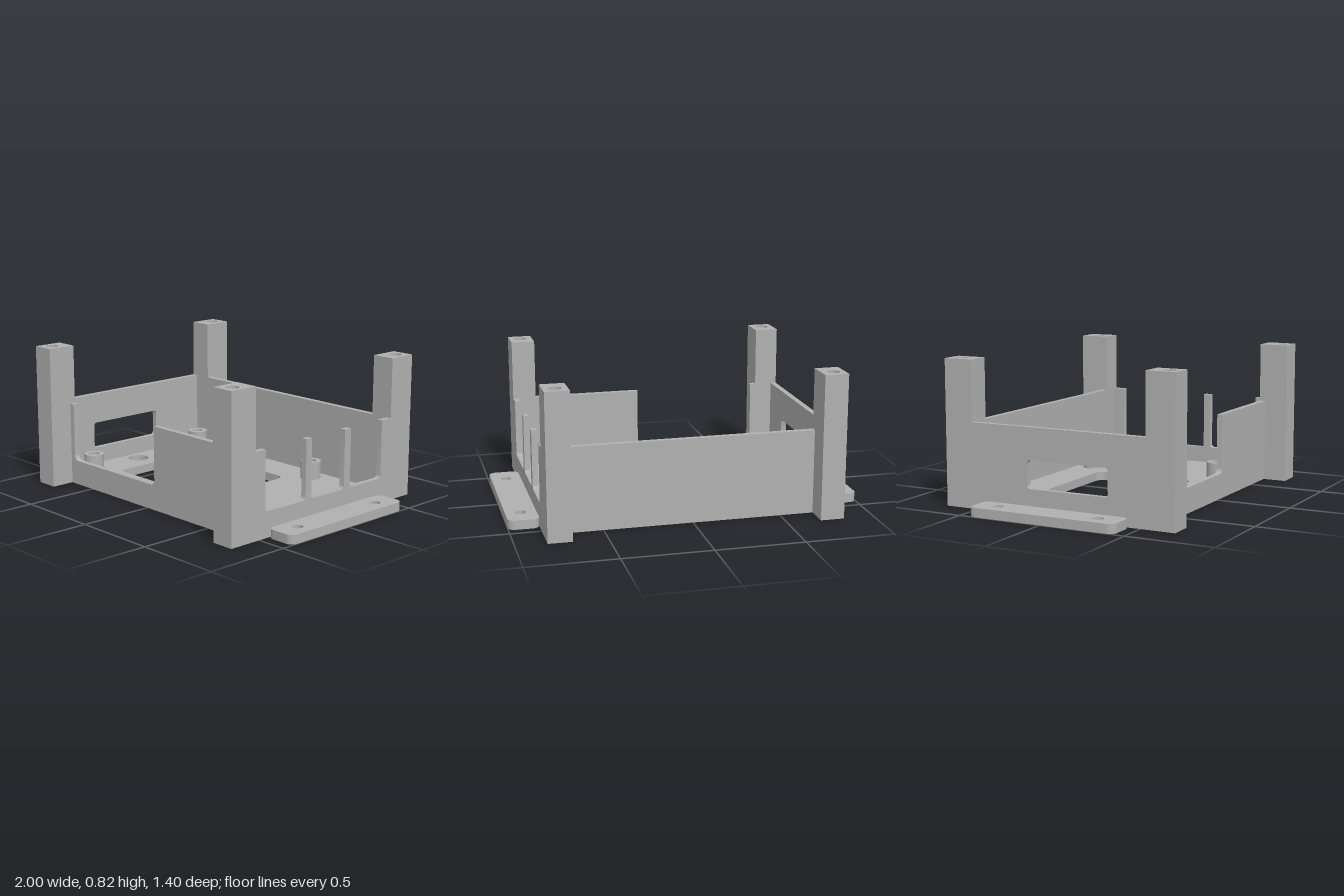
import * as THREE from 'three';
import { toCreasedNormals } from 'three/addons/utils/BufferGeometryUtils.js';

const FLOOR = 0.05, WALL_TOP = 0.48, HX = 0.827, HZ = 0.53, T = 0.033;

// Rounded rectangle traced into a Shape or Path
function roundRect(path, x0, y0, x1, y1, r) {
  path.moveTo(x0 + r, y0);
  path.lineTo(x1 - r, y0);
  path.absarc(x1 - r, y0 + r, r, -Math.PI / 2, 0, false);
  path.absarc(x1 - r, y1 - r, r, 0, Math.PI / 2, false);
  path.absarc(x0 + r, y1 - r, r, Math.PI / 2, Math.PI, false);
  path.absarc(x0 + r, y0 + r, r, Math.PI, Math.PI * 1.5, false);
  return path;
}

function rect(x0, y0, x1, y1) {
  return new THREE.Shape([[x0, y0], [x1, y0], [x1, y1], [x0, y1]].map(p => new THREE.Vector2(...p)));
}

function circle(path, x, y, r) {
  path.absarc(x, y, r, 0, Math.PI * 2, false);
  return path;
}

// Wall outline with round-bottomed notches [a, b] open at the top, listed from high to low
function wallShape(u0, u1, y0, notches, bottom, r) {
  const s = new THREE.Shape();
  s.moveTo(u0, y0);
  s.lineTo(u1, y0);
  s.lineTo(u1, WALL_TOP);
  for (const [a, b] of notches) {
    s.lineTo(b, WALL_TOP);
    s.absarc(b - r, bottom + r, r, 0, -Math.PI / 2, true);
    s.absarc(a + r, bottom + r, r, -Math.PI / 2, -Math.PI, true);
    s.lineTo(a, WALL_TOP);
  }
  s.lineTo(u0, WALL_TOP);
  return s;
}

function extrude(shape, depth) {
  const g = new THREE.ExtrudeGeometry(shape, { depth, bevelEnabled: false, curveSegments: 14 });
  return toCreasedNormals(g, 0.6);
}

// Plan outline (x, -z) raised from y0 to y1
function slab(shape, y0, y1) {
  return extrude(shape, y1 - y0).rotateX(-Math.PI / 2).translate(0, y0, 0);
}

export function createModel() {
  const model = new THREE.Group();
  model.name = 'mountingTray';
  const grey = new THREE.MeshStandardMaterial({ color: 0xb0b0b0 });
  grey.name = 'grey plastic';
  const add = (name, geometry) => {
    const mesh = new THREE.Mesh(geometry, grey);
    mesh.name = name;
    model.add(mesh);
    return mesh;
  };

  // Floor with the large opening and two round holes
  const floor = rect(-HX, -HZ, HX, HZ);
  floor.holes.push(
    roundRect(new THREE.Path(), -0.56, -0.305, 0.21, 0.312, 0.05),
    circle(new THREE.Path(), -0.707, -0.04, 0.062),
    circle(new THREE.Path(), 0.283, -0.04, 0.062));
  add('floor', slab(floor, 0, FLOOR));

  // Front wall with one wide notch, plain back wall
  add('frontWall', extrude(wallShape(-0.692, 0.692, 0, [[-0.66, 0.063]], 0.143, 0.03), T).translate(0, 0, HZ));
  add('backWall', extrude(wallShape(-0.692, 0.692, 0, [], 0, 0), T).translate(0, 0, -HZ - T));

  // Side walls: three notches on the left, a window on the right
  const notches = [[0.155, 0.458], [-0.148, 0.112], [-0.455, -0.197]];
  add('leftWall', extrude(wallShape(-HZ, HZ, FLOOR, notches, 0.145, 0.02), T)
    .rotateY(-Math.PI / 2).translate(HX, 0, 0));
  const windowed = wallShape(-HZ, HZ, FLOOR, [], 0, 0);
  windowed.holes.push(roundRect(new THREE.Path(), -0.18, 0.145, 0.312, 0.302, 0.02));
  add('rightWall', extrude(windowed, T).rotateY(-Math.PI / 2).translate(-HX + T, 0, 0));

  // Corner posts with blind screw holes in the top
  const postTop = 0.822, holeFloor = 0.6;
  for (const sx of [-1, 1]) for (const sz of [-1, 1]) {
    const post = new THREE.Group();
    post.name = 'cornerPost';
    const cx = sx * 0.7595, cz = sz * 0.615, w = 0.0675, d = 0.085;
    const lower = add('postBody', slab(rect(cx - w, -cz - d, cx + w, -cz + d), 0, holeFloor));
    const top = rect(cx - w, -cz - d, cx + w, -cz + d);
    top.holes.push(circle(new THREE.Path(), sx * 0.761, -sz * 0.632, 0.036));
    post.add(lower, add('postTop', slab(top, holeFloor, postTop)));
    model.add(post);
  }

  // Hollow standoffs on the floor
  for (const x of [-0.67, 0.322]) for (const z of [-0.421, 0.414]) {
    const ring = circle(new THREE.Shape(), x, -z, 0.059);
    ring.holes.push(circle(new THREE.Path(), x, -z, 0.033));
    add('standoff', slab(ring, FLOOR, 0.155));
  }

  // Mounting tabs with two screw holes each
  for (const s of [-1, 1]) {
    const tab = roundRect(new THREE.Shape(), s * 0.9135 - 0.0865, -0.438, s * 0.9135 + 0.0865, 0.445, 0.04);
    for (const z of [-0.312, 0.304]) tab.holes.push(circle(new THREE.Path(), s * 0.913, -z, 0.03));
    add('mountingTab', slab(tab, 0, FLOOR + 0.002));
  }
  return model;
}
